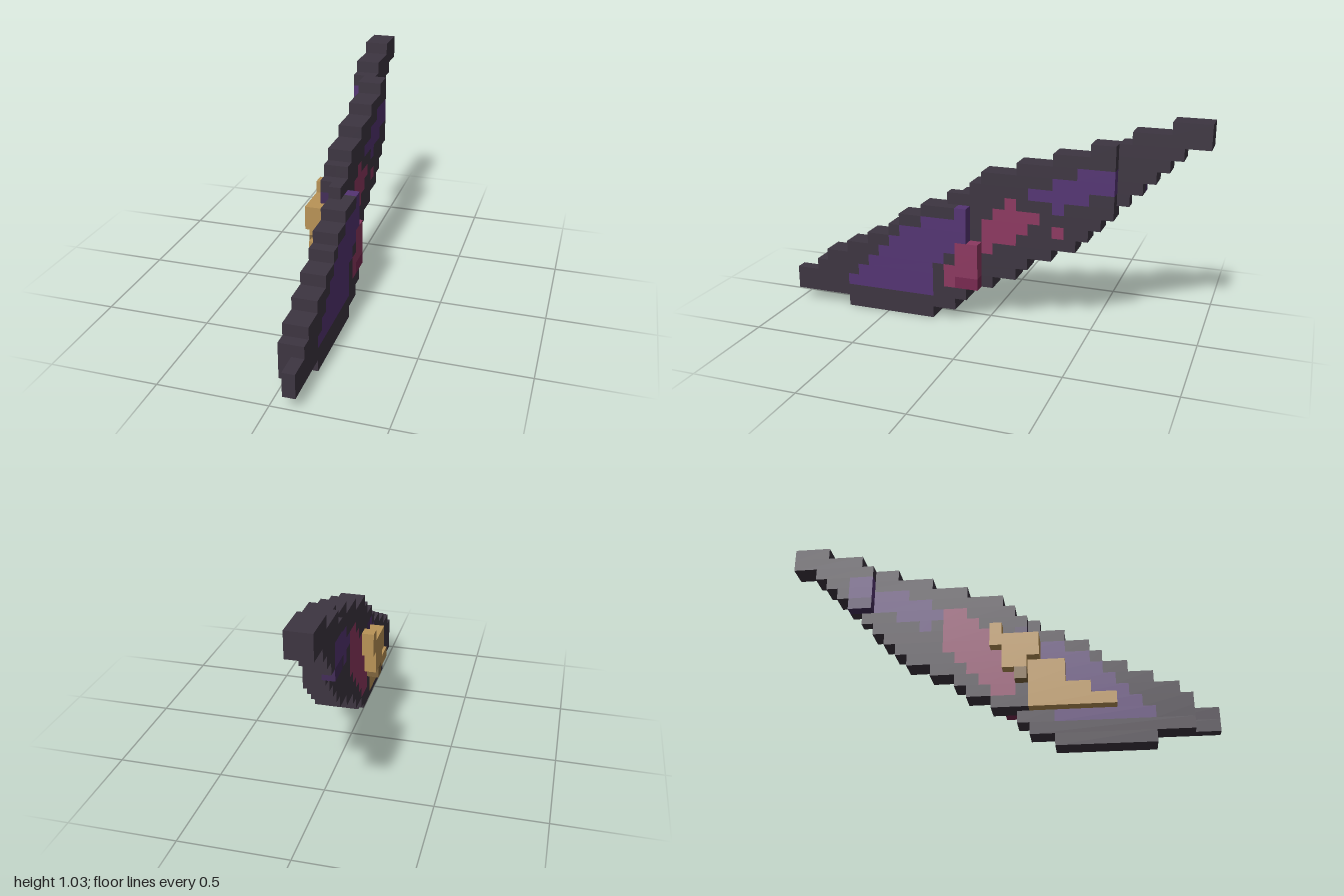
import * as THREE from 'three';
import { mergeGeometries } from 'three/addons/utils/BufferGeometryUtils.js';

// Cell size: 35 cells long (z), 18 high (y), 4 thin layers wide (x)
const U = 2 / 35;

// First and last filled column of every row of the blade, from the bottom
const OUTLINE = [
  [5, 12], [0, 14], [0, 15], [2, 17], [3, 19], [5, 20], [7, 22], [9, 24], [10, 25],
  [12, 26], [14, 27], [16, 28], [17, 29], [20, 30], [23, 31], [26, 32], [29, 34], [32, 34],
];

// Inlays: row -> [first, last] column
const LOWER_PURPLE = { 2: [5, 12], 3: [6, 12], 4: [7, 12], 5: [8, 13], 6: [9, 14], 7: [10, 15], 8: [12, 15], 9: [15, 15] };
const UPPER_PURPLE = { 10: [23, 23], 11: [21, 25], 12: [23, 27], 13: [25, 27] };
const END_PURPLE = { 12: [28, 29], 13: [28, 29], 14: [28, 29] };
const FRONT_PINK = { 3: [14, 16], 4: [14, 16], 5: [15, 16], 6: [15, 16] };
const RIDGE_PINK = { 6: [17, 17], 7: [17, 19], 8: [17, 20], 9: [18, 21], 10: [19, 19] };
const BACK_PINK = { 4: [16, 17], 5: [16, 18], 6: [16, 19], 7: [17, 20], 8: [17, 21], 9: [18, 21], 10: [19, 21], 11: [20, 21] };

// Grip: column -> [bottom row, top row]
const GRIP = [
  { 14: [7, 8], 15: [5, 8], 16: [6, 8], 17: [8, 9] },
  { 8: [3, 3], 9: [3, 3], 10: [3, 4], 11: [3, 4], 12: [3, 6], 13: [3, 6], 14: [3, 8] },
];

const inside = (range, v) => range !== undefined && v >= range[0] && v <= range[1];

// The blade steps sideways in three overlapping sections, each two layers thick
function inBlade(layer, row, k) {
  if (!inside(OUTLINE[row], k)) return false;
  if (layer === 0) return k >= 28 && row >= 12;
  if (layer === 1) return k >= 15 && row >= 3;
  if (layer === 2) return k >= 2 && k <= 27;
  return row <= 9 && (k <= 15 || (k === 16 && row >= 3 && row <= 6));
}

function cellColour(layer, row, k) {
  if (layer < 2 && inside(GRIP[layer][k], row)) return row === 5 && layer === 0 ? 'gripShade' : 'grip';
  if (!inBlade(layer, row, k)) return null;
  if (layer === 0) {
    if (!inside(END_PURPLE[row], k)) return 'blade';
    return row === 12 ? 'purpleInlayDeep' : 'purpleInlay';
  }
  if (layer === 1 && inside(BACK_PINK[row], k)) return 'pinkInlay';
  if (layer === 2 && inside(RIDGE_PINK[row], k)) return 'pinkInlay';
  if (layer === 2 && row === 8 && k === 23) return 'pinkInlay';
  if (layer === 3 && inside(FRONT_PINK[row], k)) return row === 3 && k > 14 ? 'pinkInlayDeep' : 'pinkInlay';
  if (inside(LOWER_PURPLE[row], k)) return layer === 1 && row === 9 ? 'purpleInlayDeep' : 'purpleInlay';
  if (inside(UPPER_PURPLE[row], k)) return 'purpleInlay';
  return 'blade';
}

// One bar covering a run of equal cells along z
function bar(layer, row, start, end) {
  const g = new THREE.BoxGeometry(U, U, (end - start) * U);
  return g.translate((layer - 1.5) * U, (row + 0.5) * U, 1 - ((start + end) / 2) * U);
}

export function createModel() {
  const colours = {
    blade: 0x3d3541,
    purpleInlay: 0x543473,
    purpleInlayDeep: 0x432d59,
    pinkInlay: 0x8c3860,
    pinkInlayDeep: 0x782850,
    grip: 0xb99356,
    gripShade: 0x7f653d,
  };
  const parts = {};
  for (let layer = 0; layer < 4; layer++) {
    for (let row = 0; row < OUTLINE.length; row++) {
      let start = 0;
      for (let k = 1; k <= 35; k++) {
        const colour = cellColour(layer, row, start);
        if (k < 35 && cellColour(layer, row, k) === colour) continue;
        if (colour) (parts[colour] ??= []).push(bar(layer, row, start, k));
        start = k;
      }
    }
  }

  const group = new THREE.Group();
  group.name = 'steppedBlade';
  for (const [name, bars] of Object.entries(parts)) {
    const material = new THREE.MeshStandardMaterial({ color: colours[name] });
    material.name = name + 'Colour';
    const mesh = new THREE.Mesh(mergeGeometries(bars), material);
    mesh.name = name;
    group.add(mesh);
  }
  return group;
}
